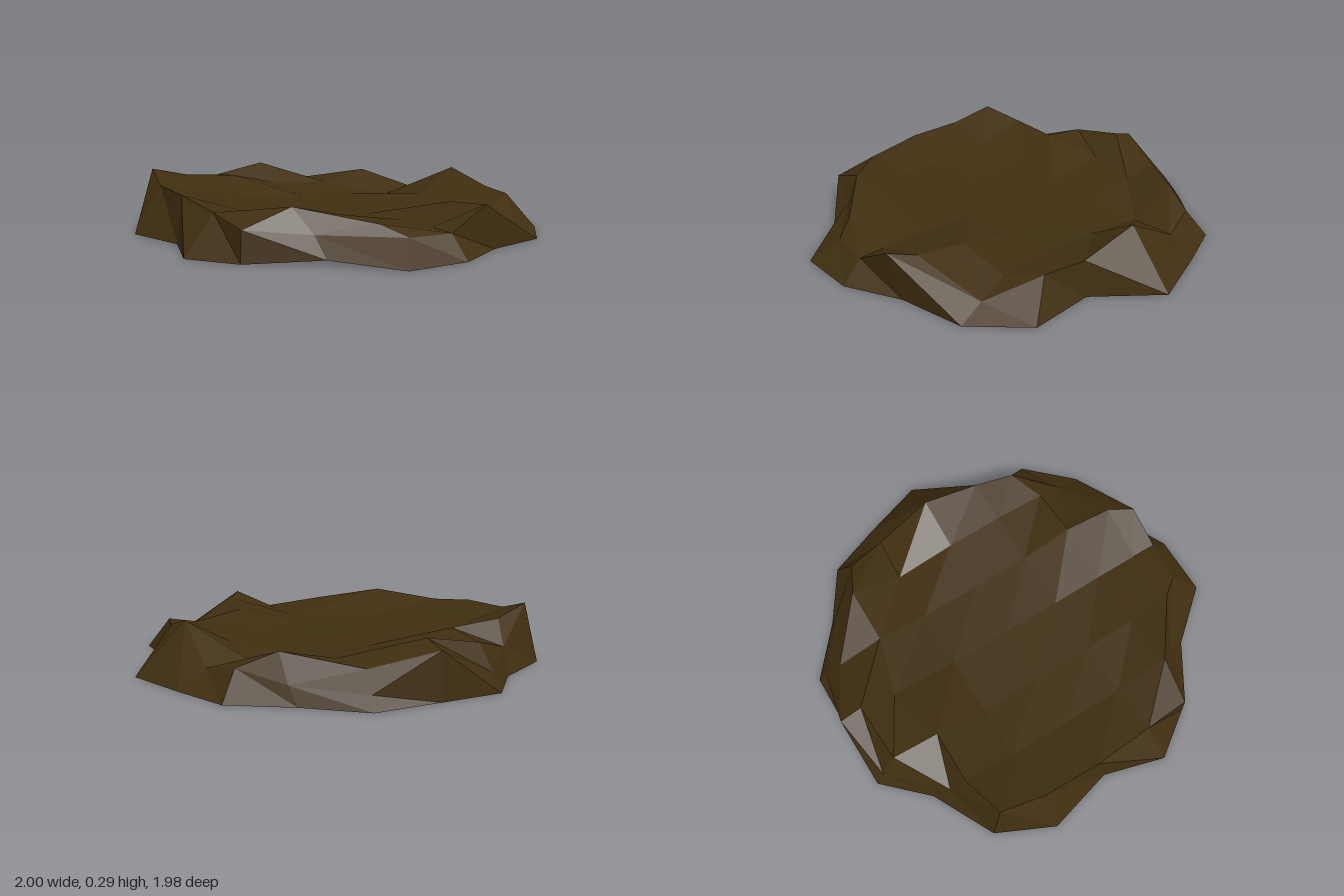
import * as THREE from 'three';

// Ground outline and raised lip, clockwise seen from above, five points per side: [x, y, z]
const base = [
  [-0.55, 0, -0.785], [-0.35, 0, -0.99], [-0.045, 0, -0.99], [0.28, 0, -0.99], [0.52, 0, -0.79],
  [0.785, 0, -0.62], [0.89, 0, -0.35], [1, 0, -0.03], [0.765, 0, 0.25], [0.785, 0, 0.575],
  [0.565, 0, 0.8], [0.235, 0, 0.86], [-0.035, 0, 0.99], [-0.34, 0, 0.985], [-0.555, 0.02, 0.72],
  [-0.845, 0, 0.52], [-1, 0, 0.295], [-0.91, 0, -0.01], [-0.995, 0, -0.345], [-0.86, 0, -0.625],
];
const lip = [
  [-0.585, 0.12, -0.7], [-0.34, 0.08, -0.94], [-0.04, 0.22, -0.985], [0.265, 0.06, -0.945], [0.535, 0.08, -0.73],
  [0.7, 0.13, -0.55], [0.76, 0.09, -0.35], [0.76, 0.25, -0.05], [0.745, 0.175, 0.25], [0.7, 0.165, 0.45],
  [0.545, 0.055, 0.67], [0.16, 0.21, 0.88], [-0.04, 0.105, 0.89], [-0.25, 0.105, 0.87], [-0.56, 0.11, 0.63],
  [-0.835, 0.14, 0.51], [-0.85, 0.18, 0.27], [-0.87, 0.22, -0.04], [-0.86, 0.23, -0.34], [-0.82, 0.29, -0.56],
];

// Hollow floor: a five by five grid of heights, with a short extra row at the back and front
const xs = [-0.61, -0.34, -0.04, 0.26, 0.53];
const zs = [-0.62, -0.36, -0.04, 0.26, 0.53];
const heights = [
  [0.24, 0.22, 0.15, 0.14, 0.2],
  [0.17, 0.13, 0.11, 0.1, 0.08],
  [0.15, 0.12, 0.1, 0.1, 0.12],
  [0.14, 0.12, 0.1, 0.11, 0.13],
  [0.22, 0.16, 0.11, 0.17, 0.12],
];
const backRow = [[-0.325, 0.2, -0.855], [-0.04, 0.25, -0.87], [0.24, 0.145, -0.86]];
const frontRow = [[-0.33, 0.155, 0.76], [-0.04, 0.11, 0.76], [0.235, 0.19, 0.77]];

function surface(name, faces, material) {
  const positions = [];
  for (const f of faces)
    for (let k = 1; k < f.length - 1; k++) positions.push(...f[0], ...f[k], ...f[k + 1]);
  const geometry = new THREE.BufferGeometry();
  geometry.setAttribute('position', new THREE.Float32BufferAttribute(positions, 3));
  geometry.computeVertexNormals();
  const mesh = new THREE.Mesh(geometry, material);
  mesh.name = name;
  return mesh;
}

export function createModel() {
  const earth = new THREE.MeshStandardMaterial({ color: 0x402e10, flatShading: true, side: THREE.DoubleSide });
  earth.name = 'dark earth';

  // Seven columns by nine rows with stepped corners: lip on the edge, floor inside
  const rows = [
    [null, null, lip[1], lip[2], lip[3], null, null],
    [null, lip[0], ...backRow, lip[4], null],
    ...zs.map((z, j) => [lip[19 - j], ...xs.map((x, i) => [x, heights[j][i], z]), lip[5 + j]]),
    [null, lip[14], ...frontRow, lip[10], null],
    [null, null, lip[13], lip[12], lip[11], null, null],
  ];
  // The back middle of the floor reaches further out
  rows[2][3][2] = -0.7;

  const floor = [];
  for (let j = 0; j < rows.length - 1; j++)
    for (let i = 0; i < 6; i++)
      floor.push([rows[j][i], rows[j + 1][i], rows[j + 1][i + 1], rows[j][i + 1]].filter(Boolean));

  // Sloping bank from the ground outline up to the lip
  const bank = base.map((b, i) => {
    const n = (i + 1) % base.length;
    return [b, lip[i], lip[n], base[n]];
  });

  const group = new THREE.Group();
  group.name = 'earthMound';
  group.add(surface('hollowTop', floor, earth), surface('outerBank', bank, earth));
  return group;
}
